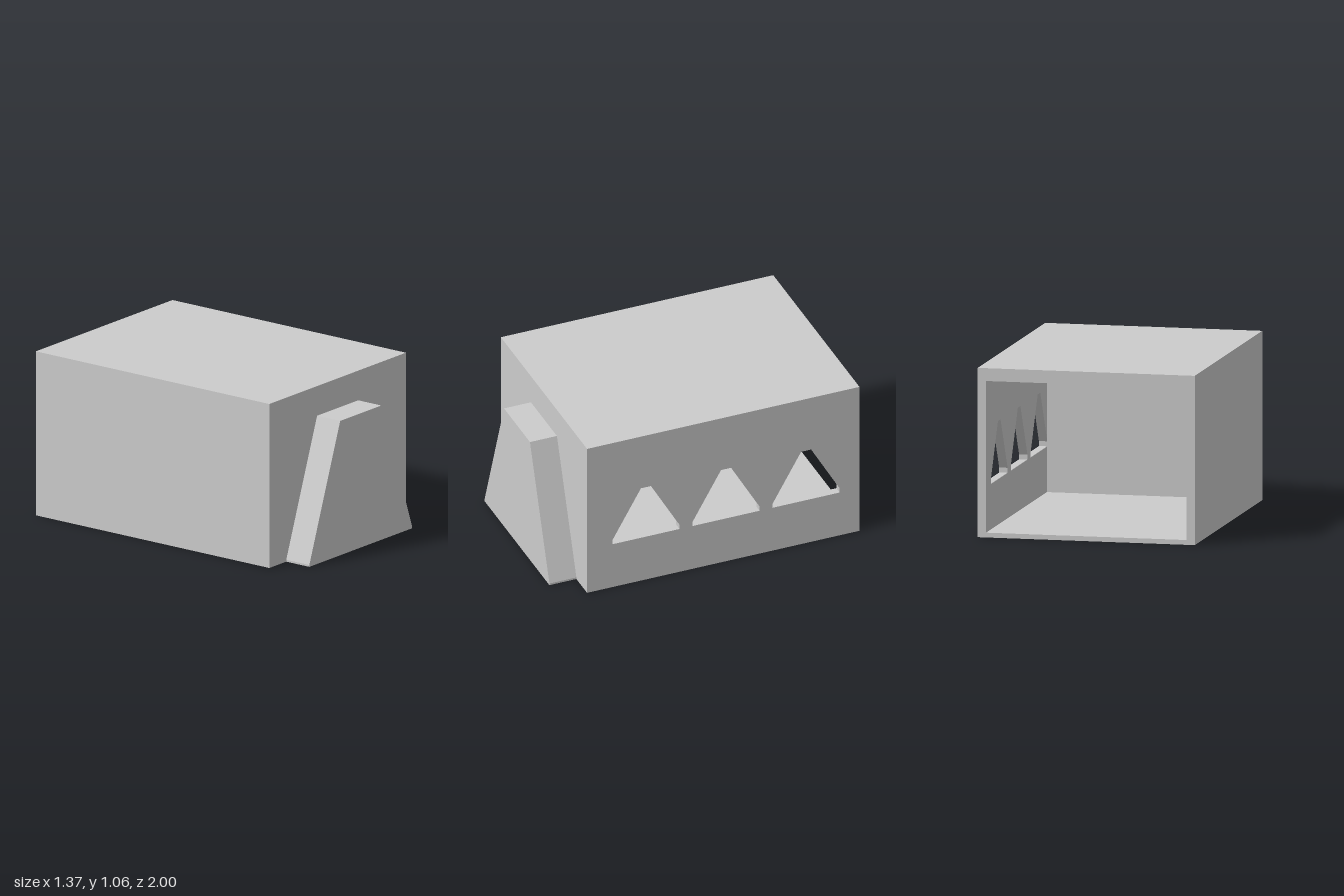
import * as THREE from 'three';

const W = 0.687, H = 1.056;             // half width and height of the box
const BACK = -1, FACE = 0.82, INNER = 0.64; // z of the open end, front face, inside of front wall
const SIDE = 0.053, ROOF = 0.08, FLOOR = 0.03; // wall thicknesses

export function createModel() {
  const group = new THREE.Group();
  const material = new THREE.MeshStandardMaterial({ color: 0xcccccc, flatShading: true });

  const add = (name, geometry) => {
    const mesh = new THREE.Mesh(geometry, material);
    mesh.name = name;
    group.add(mesh);
  };
  // Box given by its min and max corners
  const slab = (name, x0, x1, y0, y1, z0, z1) => add(name,
    new THREE.BoxGeometry(x1 - x0, y1 - y0, z1 - z0)
      .translate((x0 + x1) / 2, (y0 + y1) / 2, (z0 + z1) / 2));
  const points = (list) => list.map(([x, y]) => new THREE.Vector2(x, y));

  // Shell: open at the back, closed by a thick front wall
  const xi = W - SIDE;
  slab('rightWall', -W, -xi, 0, H, BACK, FACE);
  slab('roof', -xi, xi, H - ROOF, H, BACK, FACE);
  slab('floor', -xi, xi, 0, FLOOR, BACK, FACE);
  slab('frontWall', -xi, xi, FLOOR, H - ROOF, INNER, FACE);

  // Left wall with three trapezoid windows, drawn with shape x = -z
  const wall = new THREE.Shape(points([[-FACE, 0], [-BACK, 0], [-BACK, H], [-FACE, H]]));
  for (let i = 0; i < 3; i++) {
    const c = -0.426 + i * 0.535;
    wall.holes.push(new THREE.Path(points([
      [c - 0.224, 0.314], [c - 0.224, 0.345], [c - 0.034, 0.677],
      [c + 0.034, 0.677], [c + 0.224, 0.345], [c + 0.224, 0.314],
    ])));
  }
  add('leftWallWithWindows',
    new THREE.ExtrudeGeometry(wall, { depth: SIDE, bevelEnabled: false })
      .rotateY(Math.PI / 2).translate(xi, 0, 0));

  // Raised trapezoid block on the front, with tiny upright edges at its foot
  const block = new THREE.Shape(points([
    [-0.517, 0], [0.517, 0], [0.517, 0.012], [0.207, 0.865], [-0.207, 0.865], [-0.517, 0.012],
  ]));
  add('frontBlock',
    new THREE.ExtrudeGeometry(block, { depth: 1 - FACE, bevelEnabled: false })
      .translate(0, 0, FACE));

  return group;
}
